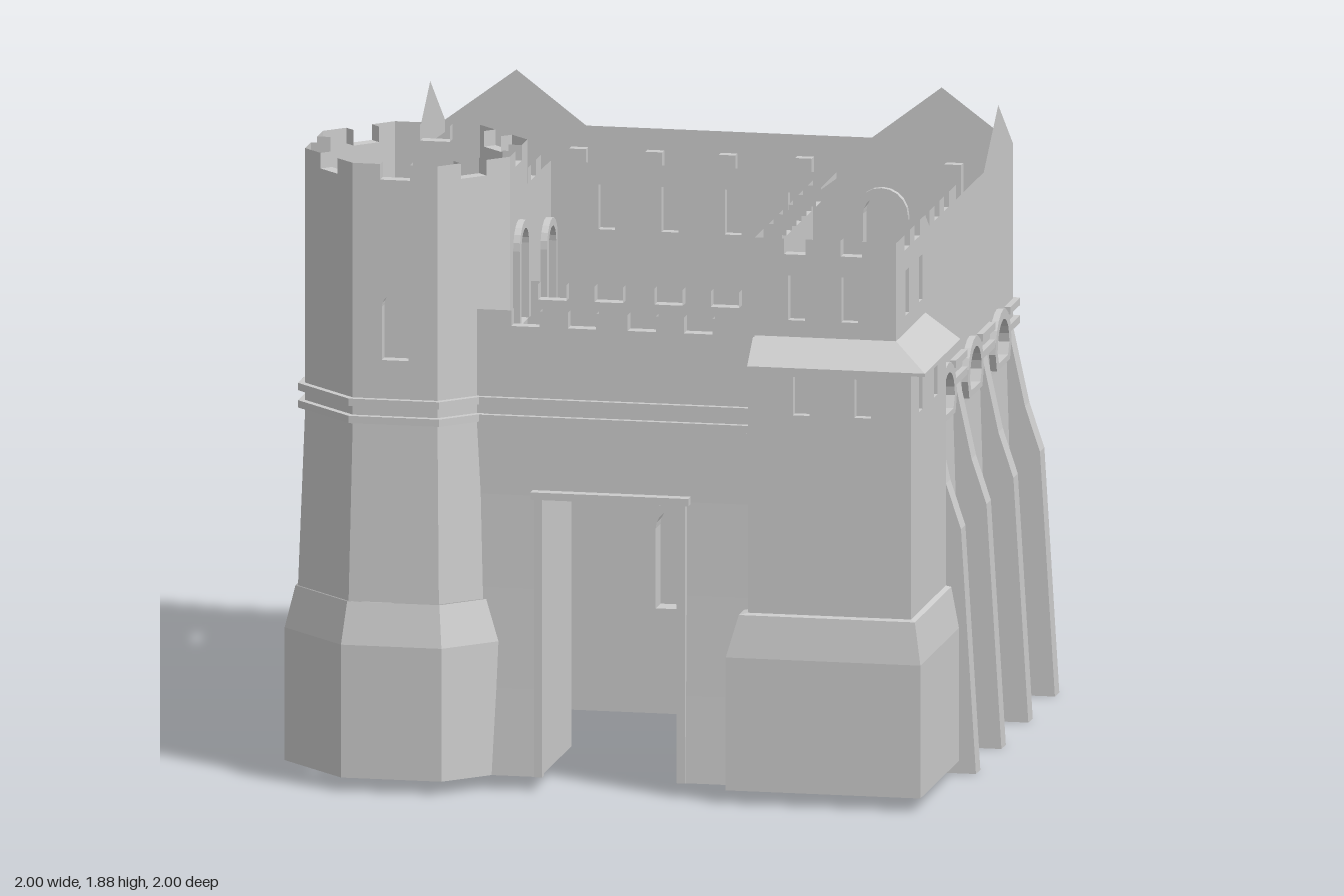
import * as THREE from 'three';

const stone = new THREE.MeshStandardMaterial({ color: 0xcccccc, side: THREE.DoubleSide, flatShading: true });

function add(parent, name, geometry) {
  const mesh = new THREE.Mesh(geometry, stone);
  mesh.name = name;
  parent.add(mesh);
  return mesh;
}

// Open surface through rows of points
function sheet(rows) {
  const n = rows[0].length, index = [];
  for (let r = 0; r < rows.length - 1; r++) for (let c = 0; c < n - 1; c++) {
    const i = r * n + c;
    index.push(i, i + n, i + 1, i + 1, i + n, i + n + 1);
  }
  const g = new THREE.BufferGeometry();
  g.setAttribute('position', new THREE.Float32BufferAttribute(rows.flat(2), 3));
  g.setIndex(index);
  const flat = g.toNonIndexed();
  flat.computeVertexNormals();
  return flat;
}

const toShape = pts => new THREE.Shape(pts.map(p => new THREE.Vector2(p[0], p[1])));

// Outline of an opening, counter-clockwise from bottom left; grow widens it for its surround
function outline({ u, y, w, h, kind }, grow = 0) {
  const r = w / 2 + grow;
  if (kind === 'window') return [[u - r, y], [u + r, y], [u + r, y + h], [u - r, y + h]];
  const foot = kind === 'bay' ? r - 0.02 : r;
  const spring = y + h - w / 2, bottom = kind === 'bay' ? y - grow * 0.6 : y;
  const pts = [[u - foot, bottom], [u + foot, bottom]];
  for (let i = 0; i <= 10; i++) {
    const t = Math.PI * i / 10;
    pts.push([u + r * Math.cos(t), spring + r * Math.sin(t)]);
  }
  return pts;
}

// Wall from a to b (left to right seen from outside), with crenels, gables and openings
function wall(parent, name, a, b, y0, y1, o = {}) {
  const dx = b[0] - a[0], dz = b[1] - a[1], len = Math.hypot(dx, dz);
  const axis = Math.abs(dx) > Math.abs(dz) ? 0 : 1;
  const along = c => Math.abs(c - a[axis]);
  const g = new THREE.Group();
  g.name = name;
  g.position.set(a[0], 0, a[1]);
  g.rotation.y = Math.atan2(-dz, dx);
  parent.add(g);

  const hw = (o.notchWidth ?? 0.075) / 2, drop = 0.047;
  const notches = (o.notches ?? []).map(c => {
    const u = along(c);
    return [[u - hw, y1], [u - hw, y1 - drop], [u + hw, y1 - drop], [u + hw, y1]];
  });
  const peaks = (o.peaks ?? []).map(p => [[along(p[0]), p[1]]]);
  const top = [...notches, ...peaks].sort((p, q) => p[0][0] - q[0][0]).flat();
  const shape = toShape([[0, y0], [len, y0], [len, y1], ...top.reverse(), [0, y1]]);

  const recess = (pts, d) => sheet([pts.map(p => [p[0], p[1], 0]), pts.map(p => [p[0], p[1], -d])]);
  for (const n of notches) add(g, 'crenelLedge', recess(n, 0.04));

  const openings = (o.openings ?? []).map(p => ({ ...p, u: along(p.c) }));
  for (const p of openings) {
    const pts = outline(p), d = p.d ?? 0.03;
    shape.holes.push(new THREE.Path(toShape(pts).getPoints()));
    add(g, p.kind + 'Recess', recess([...pts, pts[0]], d));
    if (p.kind !== 'bay') add(g, p.kind + 'Back', new THREE.ShapeGeometry(toShape(pts))).position.z = -d;
    if (p.ring) {
      const ring = toShape(outline(p, p.ring));
      ring.holes.push(new THREE.Path(toShape(pts).getPoints()));
      add(g, p.kind + 'Surround', new THREE.ExtrudeGeometry(ring, { depth: 0.02, bevelEnabled: false }));
    }
  }
  add(g, 'face', new THREE.ShapeGeometry(shape));

  // Double string course, broken at the arched bays
  if (o.course) {
    const cuts = openings.filter(p => p.kind === 'bay').map(p => p.u).sort((p, q) => p - q);
    const ends = [-0.015, ...cuts.flatMap(u => [u - 0.11, u + 0.11]), len + 0.015];
    for (let i = 0; i < ends.length; i += 2) for (const y of [1.11, 1.163]) {
      const w = ends[i + 1] - ends[i];
      add(g, 'stringCourse', new THREE.BoxGeometry(w, 0.022, 0.03)).position.set(ends[i] + w / 2, y, 0.003);
    }
  }
  return g;
}

const win = (c, y = 1.44, h = 0.135) => ({ kind: 'window', c, y, w: 0.05, h });
const bay = (c, d = 0.04) => ({ kind: 'bay', c, y: 1.04, w: 0.17, h: 0.12, d, ring: 0.03 });
const door = (c, y, h = 0.28) => ({ kind: 'arch', c, y, w: 0.11, h, d: 0.03, ring: 0.025 });

function createOuterWalls(root) {
  const W = 0.855, bays = [-0.62, -0.22, 0.17];
  const gable = s => [[s * 0.43, 1.64], [s * 0.64, 1.8]];
  wall(root, 'backWall', [W, -W], [-W, -W], 1, 1.64, {
    course: true, peaks: [...gable(1), ...gable(-1)],
    openings: [-0.64, -0.45, -0.22, 0, 0.23, 0.45, 0.68].map(c => win(c)),
  });
  wall(root, 'rightWall', [W, 0.42], [W, -W], 1, 1.64, { course: true, peaks: gable(-1), openings: bays.map(c => bay(c)) });
  wall(root, 'leftWall', [-W, -W], [-W, 0.42], 1, 1.64, { course: true, peaks: gable(-1), openings: bays.map(c => bay(c)) });
  wall(root, 'leftParapet', [-W, -0.2], [-W, 0.42], 1.635, 1.685, { notches: [-0.07, 0.08, 0.2, 0.33] });

  // Battered lower walls
  const batter = [[1, 0], [0.8, 0.006], [0.55, 0.014], [0.3, 0.024], [0.04, 0.035]];
  add(root, 'batteredBase', sheet(batter.map(([y, o]) => {
    const e = W + o;
    return [[-e, y, 0.42], [-e, y, -e], [e, y, -e], [e, y, 0.42]];
  })));

  // Buttresses
  const profile = toShape([[0.85, 0], [1, 0], [0.955, 0.735], [0.91, 0.87], [0.86, 1.1], [0.85, 1.1]]);
  const geo = new THREE.ExtrudeGeometry(profile, { depth: 0.064, bevelEnabled: false }).translate(0, 0, -0.032);
  for (const z of [-0.795, -0.41, -0.02, 0.35]) for (const s of [1, -1]) {
    const m = add(root, 'sideButtress', geo);
    m.position.z = z;
    if (s < 0) m.rotation.y = Math.PI;
  }
  for (const x of [-0.615, -0.2, 0.23, 0.64]) {
    const m = add(root, 'backButtress', geo);
    m.position.x = x;
    m.rotation.y = Math.PI / 2;
  }
}

function createOctagonTower(root) {
  const tower = new THREE.Group();
  tower.name = 'octagonTower';
  tower.position.set(-0.632, 0, 0.635);
  root.add(tower);
  const A = 0.308, tan = Math.tan(Math.PI / 8), cos = Math.cos(Math.PI / 8);
  // Seven-sided rings, open towards the gatehouse
  const ring = (name, top, bottom, y0, y1) => add(tower, name, new THREE.CylinderGeometry(
    top / cos, bottom / cos, y1 - y0, 7, 1, true, Math.PI * 0.625, Math.PI * 1.75)).position.y = (y0 + y1) / 2;
  ring('plinth', 0.365, 0.365, 0.04, 0.44);
  ring('plinthSlope', 0.335, 0.365, 0.44, 0.565);
  ring('shaft', A, 0.328, 0.565, 1.1);
  for (const y of [1.1, 1.152]) {
    ring('stringCourse', 0.328, 0.328, y, y + 0.022);
    ring('stringCourseTop', A, 0.328, y + 0.0219, y + 0.022);
    ring('stringCourseUnderside', 0.328, A, y, y + 0.0001);
  }
  for (let k = 0; k < 8; k++) {
    const side = new THREE.Group();
    side.name = 'towerSide';
    side.rotation.y = k * Math.PI / 4;
    tower.add(side);
    const slit = { kind: 'arch', c: 0, y: 1.29, w: 0.08, h: 0.2, d: 0.04 };
    const openings = k % 2 ? [] : k === 2 ? [door(0, 1.36)] : [slit];
    wall(side, 'upperFace', [-A * tan, A], [A * tan, A], k === 2 ? 1.2 : 1.1, 1.88, { notches: [0], notchWidth: 0.09, openings });
  }
}

function createCornerTower(root) {
  // Stepped plinth wrapping the corner
  add(root, 'cornerPlinth', sheet([[0.57, 0], [0.565, 0.025], [0.44, 0.06], [0.04, 0.06]].map(([y, o]) => {
    const l = 0.425 - o, e = 0.915 + o * 0.6;
    return [[l, y, 0.84], [l, y, e], [e, y, e], [e, y, 0.41 - o * 0.3], [0.855, y, 0.41 - o * 0.3]];
  })));
  wall(root, 'cornerShaftFront', [0.425, 0.915], [0.915, 0.915], 0.57, 1.31, { openings: [win(0.585, 1.17, 0.115), win(0.77, 1.17, 0.115)] });
  wall(root, 'cornerShaftSide', [0.915, 0.915], [0.915, 0.41], 0.57, 1.31, { openings: [win(0.77, 1.17, 0.115), win(0.555, 1.17, 0.115)] });
  wall(root, 'cornerShaftReturn', [0.425, 0.84], [0.425, 0.915], 0.57, 1.31);
  wall(root, 'cornerShaftReturn', [0.915, 0.41], [0.855, 0.41], 0.57, 1.31);
  // Lean-to skirt roof with closed ends
  add(root, 'skirtRoof', sheet([[0.915, 0.915, 1.31], [0.96, 0.93, 1.305], [0.96, 0.93, 1.315], [0.855, 0.84, 1.39]].map(
    ([x, z, y]) => [[0.425, y, z], [x, y, z], [x, y, 0.415]])));
  add(root, 'skirtEnd', sheet([[[0.425, 1.31, 0.84], [0.425, 1.39, 0.84]], [[0.425, 1.31, 0.93], [0.425, 1.31, 0.93]]]));
  add(root, 'skirtEnd', sheet([[[0.855, 1.31, 0.415], [0.855, 1.39, 0.415]], [[0.96, 1.31, 0.415], [0.96, 1.31, 0.415]]]));
  // Upper storey
  const notches = [0.68, 0.535, 0.395, 0.25, 0.11];
  wall(root, 'cornerUpperFront', [0.425, 0.84], [0.855, 0.84], 1.31, 1.685, { notches: [0.55, 0.72], notchWidth: 0.065, openings: [win(0.555), win(0.715)] });
  wall(root, 'cornerUpperSide', [0.855, 0.84], [0.855, 0.42], 1.31, 1.685, { notches: notches.slice(0, 2), openings: [win(0.68), win(0.485)] });
  wall(root, 'rightParapet', [0.855, 0.42], [0.855, -0.03], 1.635, 1.685, { notches: notches.slice(2) });
  wall(root, 'rightInnerWall', [0.43, 0], [0.43, 0.84], 0.04, 1.685, { notches, openings: [door(0.61, 1.32)] });
}

function createInnerWalls(root) {
  wall(root, 'rightCourtWall', [0.43, -0.34], [0.43, 0], 0.04, 1.64, { openings: [door(-0.26, 1.18)] });
  wall(root, 'leftCourtWall', [-0.43, -0.2], [-0.43, -0.34], 0.04, 1.64);
  wall(root, 'leftInnerWall', [-0.43, 0.36], [-0.43, -0.2], 0.04, 1.685, { notches: [0.29, 0.16, 0.03, -0.09] });
  wall(root, 'leftTerraceDoor', [-0.428, -0.17], [-0.428, -0.339], 1.1, 1.64, { openings: [door(-0.26, 1.18)] });
  const xs = [-0.26, -0.07, 0.12, 0.31];
  wall(root, 'hallWall', [-0.43, -0.335], [0.43, -0.335], 0.04, 1.64, { openings: [...xs.map(c => win(c)), ...xs.map(c => win(c, 0.4))] });
  wall(root, 'courtArcade', [-0.43, -0.1], [0.43, -0.1], 0.04, 1.2, {
    course: true,
    openings: [...[-0.31, 0, 0.31].map(c => bay(c, 0.12)), { kind: 'arch', c: 0, y: 0.36, w: 0.12, h: 0.3, d: 0.05, ring: 0.025 }],
  });
  // Gable ends of the two side wings
  wall(root, 'rightGable', [0.43, 0], [0.855, 0], 0.9, 1.64, { peaks: [[0.64, 1.8]], openings: [door(0.64, 1.37)] });
  wall(root, 'leftGable', [-0.855, -0.21], [-0.43, -0.21], 0.9, 1.64, { peaks: [[-0.64, 1.8]], openings: [door(-0.64, 1.37)] });
  add(root, 'gableLedge', new THREE.BoxGeometry(0.31, 0.03, 0.04)).position.set(0.635, 1.34, 0.02);
  add(root, 'leftPassageCeiling', new THREE.BoxGeometry(0.2, 0.01, 0.46)).position.set(-0.52, 0.88, 0.04);
}

function createGatehouse(root) {
  const notches = [-0.26, -0.09, 0.09, 0.26], notchWidth = 0.085;
  wall(root, 'gateFront', [-0.42, 0.845], [0.43, 0.845], 0.88, 1.435, { notches, notchWidth, course: true });
  wall(root, 'gateRear', [0.43, 0.415], [-0.42, 0.415], 0.88, 1.435, { notches, notchWidth });
  for (const s of [1, -1]) {
    add(root, 'gateFrontPier', sheet([[0.88, 0.845], [0.6, 0.852], [0.3, 0.863], [0.04, 0.875]].map(
      ([y, z]) => [[s * 0.21, y, z], [s * 0.42, y, z]])));
    add(root, 'gateRearPier', sheet([0.88, 0.04].map(y => [[s * 0.21, y, 0.415], [s * 0.43, y, 0.415]])));
    add(root, 'passageSide', sheet([0.88, 0.04].map(y => [[s * 0.21, y, 0.415], [s * 0.21, y, 0.87]])));
    add(root, 'gateJamb', new THREE.BoxGeometry(0.025, 0.84, 0.03)).position.set(s * 0.215, 0.46, 0.865);
  }
  add(root, 'passageCeiling', new THREE.BoxGeometry(0.41, 0.008, 0.43)).position.set(0, 0.876, 0.63);
  add(root, 'gateLintel', new THREE.BoxGeometry(0.475, 0.022, 0.04)).position.set(0, 0.886, 0.86);
}

export function createModel() {
  const root = new THREE.Group();
  root.name = 'castle';
  createOuterWalls(root);
  createOctagonTower(root);
  createCornerTower(root);
  createInnerWalls(root);
  createGatehouse(root);
  return root;
}
